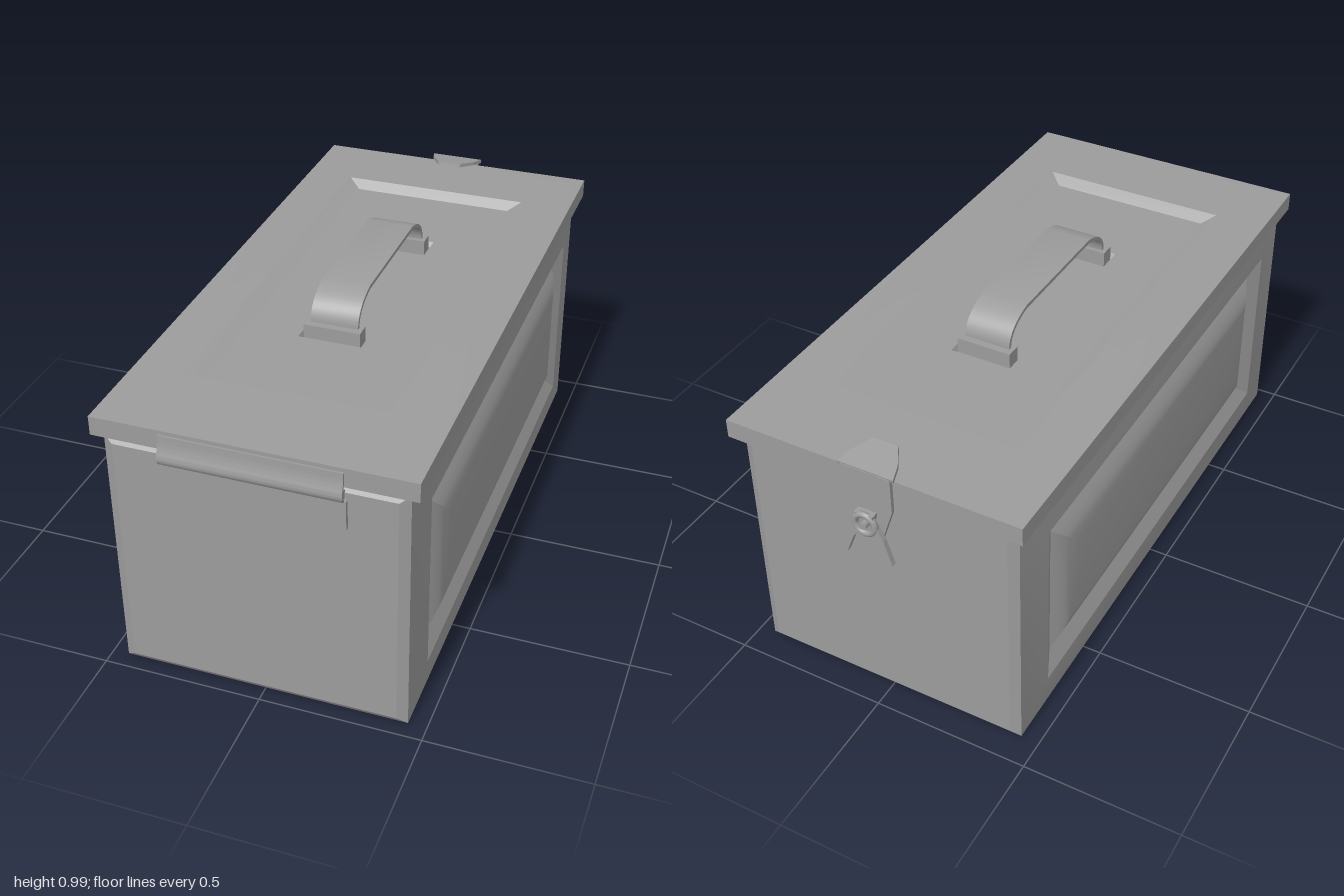
import * as THREE from 'three';
import { toCreasedNormals } from 'three/addons/utils/BufferGeometryUtils.js';

const material = new THREE.MeshStandardMaterial({ color: 0x9c9c9c });

function add(parent, name, geometry, x = 0, y = 0, z = 0) {
  const mesh = new THREE.Mesh(geometry, material);
  mesh.name = name;
  mesh.position.set(x, y, z);
  parent.add(mesh);
  return mesh;
}

// Axis maps from panel space (u, v, outward w) to the model
const MAPS = {
  top: (u, v, w) => [v, w, u],
  bottom: (u, v, w) => [u, w, v],
  left: (u, v, w) => [w, u, v],
  right: (u, v, w) => [-w, v, u],
  front: (u, v, w) => [u, v, w],
  back: (u, v, w) => [v, u, w],
};

// Pressed panel: nested rectangles [u0, u1, v0, v1, w] joined by walls, last one capped
function panel(map, rings, crease = 0.3, closeStart = false) {
  const pos = [];
  const loops = rings.map(([a, b, c, d, w]) =>
    [[a, c], [b, c], [b, d], [a, d]].map(([u, v]) => MAPS[map](u, v, w)));
  const quad = (a, b, c, d) => [a, b, c, a, c, d].forEach((p) => pos.push(...p));
  for (let r = 0; r + 1 < loops.length; r++) {
    for (let i = 0; i < 4; i++) {
      const j = (i + 1) % 4;
      quad(loops[r][i], loops[r][j], loops[r + 1][j], loops[r + 1][i]);
    }
  }
  quad(...loops[loops.length - 1]);
  if (closeStart) quad(...[...loops[0]].reverse());
  const g = new THREE.BufferGeometry();
  g.setAttribute('position', new THREE.Float32BufferAttribute(pos, 3));
  return toCreasedNormals(g, crease);
}

// Bent sheet strip: centre line of [z, y] points, given thickness, extruded along x
function strip(points, thickness, width) {
  const p = points.map(([z, y]) => new THREE.Vector2(z, y));
  const side = (s) => p.map((q, i) => {
    const t = p[Math.min(i + 1, p.length - 1)].clone().sub(p[Math.max(i - 1, 0)]).normalize();
    return new THREE.Vector2(q.x - t.y * s, q.y + t.x * s);
  });
  const shape = new THREE.Shape([...side(thickness / 2), ...side(-thickness / 2).reverse()]);
  const g = new THREE.ExtrudeGeometry(shape, { depth: width, bevelEnabled: false });
  g.translate(0, 0, -width / 2).rotateY(-Math.PI / 2);
  return toCreasedNormals(g, 0.6);
}

// Flat plate outlined in [x, y], centred on z = 0
function plate(points, depth) {
  const shape = new THREE.Shape(points.map(([x, y]) => new THREE.Vector2(x, y)));
  return new THREE.ExtrudeGeometry(shape, { depth, bevelEnabled: false }).translate(0, 0, -depth / 2);
}

export function createModel() {
  const model = new THREE.Group();
  model.name = 'storageBox';

  // Body: side walls with a recessed frame around a softly rounded pillow
  const body = new THREE.Group();
  body.name = 'body';
  model.add(body);
  const pillow = [[0, 0.428], [0.025, 0.441], [0.05, 0.451], [0.075, 0.457], [0.11, 0.46], [0.16, 0.462]]
    .map(([inset, x]) => [0.18 + inset, 0.655 - inset, -0.705 + inset, 0.745 - inset, x]);
  const sideRings = [
    // y0, y1, z0, z1, x
    [0.01, 0.82, -0.912, 0.957, 0.445],
    [0.12, 0.71, -0.765, 0.807, 0.455],
    ...pillow,
  ];
  add(body, 'leftWall', panel('left', sideRings));
  add(body, 'rightWall', panel('right', sideRings.map(([a, b, c, d, w]) => [c, d, a, b, w])));

  // End walls and floor with bevelled borders
  add(body, 'frontWall', panel('front', [
    [-0.445, 0.445, 0.01, 0.82, 0.957], [-0.415, 0.415, 0.033, 0.8, 0.973]]));
  add(body, 'backWall', panel('back', [
    [0.01, 0.82, -0.445, 0.445, -0.912], [0.033, 0.8, -0.415, 0.415, -0.928]]));
  add(body, 'floor', panel('bottom', [
    [-0.445, 0.445, -0.912, 0.957, 0.01], [-0.43, 0.43, -0.9, 0.945, 0]]));

  // Lid: slightly crowned, sunken centre with soft long sides, pocket under the handle
  add(model, 'lid', panel('top', [
    // z0, z1, x0, x1, y
    [-0.95, 0.98, -0.475, 0.475, 0.822],
    [-0.95, 0.98, -0.475, 0.475, 0.882],
    [-0.84, 0.87, -0.4, 0.4, 0.888],
    [-0.69, 0.72, -0.322, 0.322, 0.8925],
    [-0.68, 0.71, -0.312, 0.312, 0.893],
    [-0.652, 0.677, -0.27, 0.27, 0.866],
    [-0.642, 0.667, -0.26, 0.26, 0.866],
    [-0.345, 0.37, -0.1, 0.1, 0.866],
    [-0.335, 0.36, -0.092, 0.092, 0.85],
  ], 0.66, true));

  // Carrying handle: strap rising from two brackets
  const handle = new THREE.Group();
  handle.name = 'handle';
  model.add(handle);
  const path = new THREE.Path();
  path.moveTo(0.325, 0.86);
  path.lineTo(0.325, 0.905);
  path.bezierCurveTo(0.32, 0.95, 0.28, 0.975, 0.22, 0.987);
  path.lineTo(-0.19, 0.987);
  path.bezierCurveTo(-0.25, 0.975, -0.29, 0.95, -0.295, 0.905);
  path.lineTo(-0.295, 0.86);
  add(handle, 'strap', strip(path.getPoints(10).map((p) => [p.x, p.y]), 0.012, 0.15));
  for (const z of [0.33, -0.3]) {
    add(handle, 'bracket', new THREE.BoxGeometry(0.178, 0.055, 0.048), 0, 0.8725, z);
  }

  // Front hinge: upper leaf rolled over a pin, and lower leaf
  const hinge = new THREE.Group();
  hinge.name = 'hinge';
  model.add(hinge);
  const roll = new THREE.SplineCurve([[0.983, 0.87], [0.985, 0.845], [0.99, 0.823], [0.996, 0.803],
    [0.993, 0.786], [0.983, 0.78]].map(([z, y]) => new THREE.Vector2(z, y)));
  add(hinge, 'upperLeaf', strip(roll.getPoints(20).map((p) => [p.x, p.y]), 0.008, 0.534));
  add(hinge, 'pin', new THREE.CylinderGeometry(0.014, 0.014, 0.53, 20).rotateZ(Math.PI / 2), 0, 0.798, 0.981);
  add(hinge, 'lowerLeaf', new THREE.BoxGeometry(0.55, 0.094, 0.014), -0.002, 0.731, 0.978);

  // Back latch: pull tab, tapered plate, ring, forked lever and anchor pins
  const latch = new THREE.Group();
  latch.name = 'latch';
  model.add(latch);
  const tab = plate([[-0.09, 0], [0.09, 0], [0.075, 0.05], [0.04, 0.11], [-0.04, 0.11], [-0.075, 0.05]], 0.012);
  add(latch, 'tab', tab, 0, 0.893, -0.963).rotation.x = Math.PI / 2 - 0.2;
  add(latch, 'plate', plate([[-0.08, 0.895], [-0.08, 0.78], [-0.04, 0.66],
    [0.04, 0.66], [0.08, 0.78], [0.08, 0.895]], 0.012), 0, 0, -0.96);
  add(latch, 'ring', new THREE.TorusGeometry(0.033, 0.01, 10, 24), 0, 0.722, -0.984);
  add(latch, 'pivot', new THREE.CylinderGeometry(0.012, 0.012, 0.05, 12).rotateX(Math.PI / 2), 0, 0.722, -0.972);
  add(latch, 'crossPin', new THREE.BoxGeometry(0.06, 0.016, 0.036), 0, 0.752, -0.972);
  for (const s of [-1, 1]) {
    const leg = [[0.012, 0.7], [0.038, 0.665], [0.064, 0.597], [0.085, 0.603], [0.06, 0.685], [0.034, 0.735]];
    if (s > 0) leg.reverse();
    add(latch, 'leverLeg', plate(leg.map(([x, y]) => [s * x, y]), 0.016), 0, 0, -0.981);
  }
  for (const y of [0.74, 0.67]) {
    add(latch, 'anchorPin', new THREE.BoxGeometry(0.06, 0.014, 0.04), 0, y, -0.942);
  }

  return model;
}
